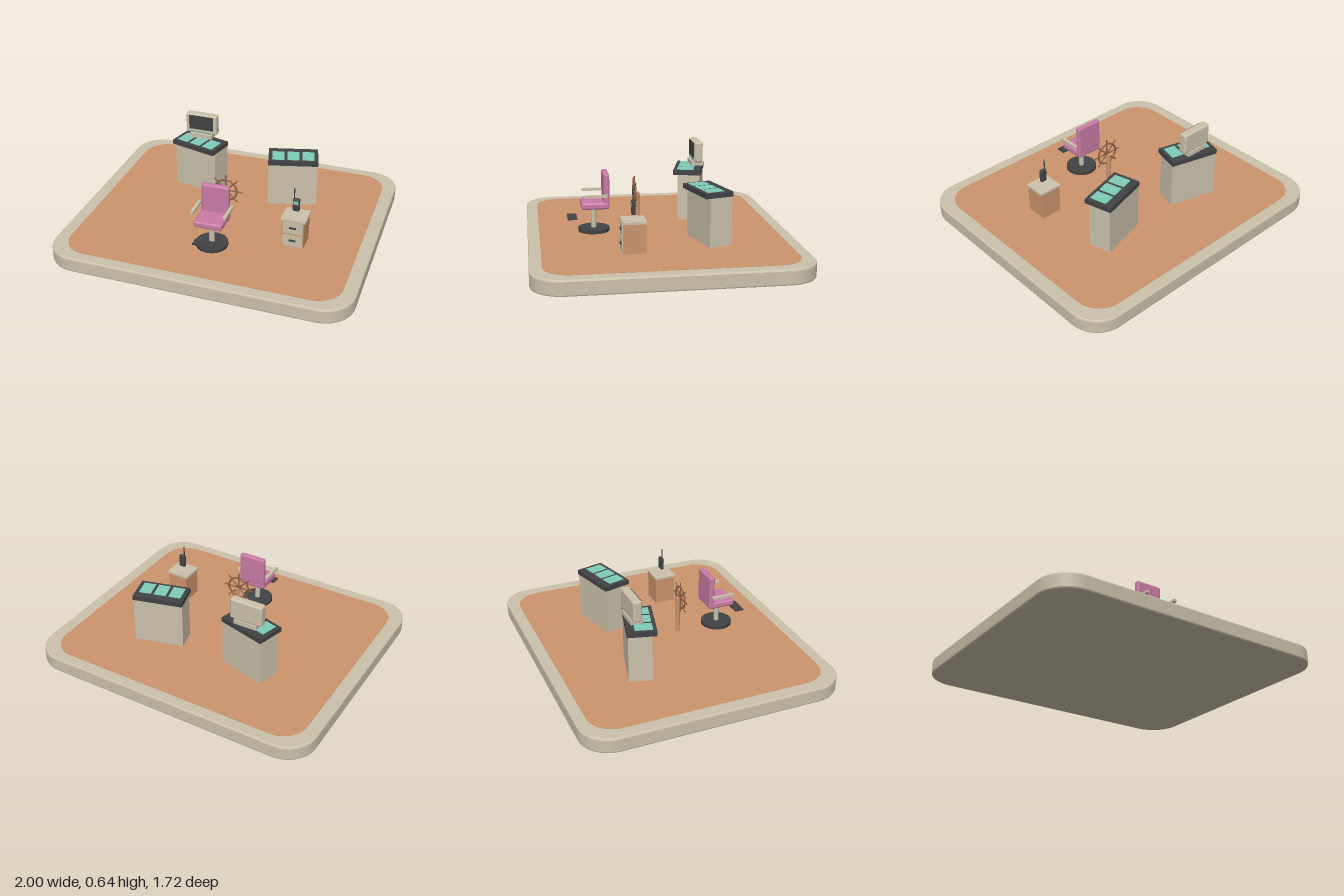
import * as THREE from 'three';
import { RoundedBoxGeometry } from 'three/addons/geometries/RoundedBoxGeometry.js';

const mat = (name, color, side = THREE.FrontSide) => {
  const m = new THREE.MeshStandardMaterial({ color, side });
  m.name = name;
  return m;
};

export function createModel() {
  const cream = mat('cream', 0xcbc1ab);
  const wood = mat('wood', 0xcb946d);
  const darkWood = mat('dark wood', 0x8f5f42);
  const charcoal = mat('charcoal', 0x404244);
  const teal = mat('teal', 0x7fcbb8);
  const pink = mat('pink', 0xc97aa6);

  const root = new THREE.Group();
  root.name = 'controlRoom';

  const group = (name, x = 0, y = 0, z = 0) => {
    const g = new THREE.Group();
    g.name = name;
    g.position.set(x, y, z);
    root.add(g);
    return g;
  };
  const add = (parent, name, geometry, material, x, y, z) => {
    const m = new THREE.Mesh(geometry, material);
    m.name = name;
    m.position.set(x, y, z);
    parent.add(m);
    return m;
  };
  const box = (p, name, material, w, h, d, x, y, z) =>
    add(p, name, new THREE.BoxGeometry(w, h, d), material, x, y, z);
  const soft = (p, name, material, w, h, d, r, x, y, z) =>
    add(p, name, new RoundedBoxGeometry(w, h, d, 2, r), material, x, y, z);
  const cyl = (p, name, material, r, h, x, y, z, sides = 16) =>
    add(p, name, new THREE.CylinderGeometry(r, r, h, sides), material, x, y, z);

  // Rounded slab lying flat, with its underside at height y
  const slab = (name, material, hw, hd, r, h, bevel, y) => {
    const a = hw - bevel, b = hd - bevel;
    const s = new THREE.Shape();
    s.moveTo(-a + r, -b);
    s.lineTo(a - r, -b);
    s.absarc(a - r, -b + r, r, -Math.PI / 2, 0);
    s.lineTo(a, b - r);
    s.absarc(a - r, b - r, r, 0, Math.PI / 2);
    s.lineTo(-a + r, b);
    s.absarc(-a + r, b - r, r, Math.PI / 2, Math.PI);
    s.lineTo(-a, -b + r);
    s.absarc(-a + r, -b + r, r, Math.PI, Math.PI * 1.5);
    const g = new THREE.ExtrudeGeometry(s, {
      depth: h - 2 * bevel, curveSegments: 8,
      bevelEnabled: bevel > 0, bevelSize: bevel, bevelThickness: bevel, bevelSegments: 2,
    });
    g.rotateX(-Math.PI / 2);
    add(root, name, g, material, 0, y + bevel, 0);
  };

  // Platform and floor
  slab('platform', cream, 1, 0.862, 0.19, 0.1, 0.01, 0);
  slab('floor', wood, 0.913, 0.785, 0.17, 0.003, 0, 0.099);

  // Two mirrored consoles turned towards the chair
  for (const s of [-1, 1]) {
    const c = group(s < 0 ? 'rightConsole' : 'leftConsole', s * 0.338, 0, -0.286);
    c.rotation.y = s * 0.262;
    box(c, 'consoleBody', cream, 0.335, 0.32, 0.152, 0, 0.26, -0.012);
    box(c, 'consoleTop', charcoal, 0.338, 0.032, 0.19, 0, 0.436, 0);
    for (let i = -1; i <= 1; i++)
      box(c, 'consoleScreen', teal, 0.082, 0.005, 0.115, i * 0.102, 0.4535, 0.014);
  }

  // Monitor over the right-hand console
  const monitor = group('monitor', -0.338, 0, -0.336);
  soft(monitor, 'monitorCase', cream, 0.225, 0.145, 0.06, 0.014, 0, 0.567, 0);
  box(monitor, 'monitorScreen', charcoal, 0.176, 0.102, 0.006, 0, 0.579, 0.031);
  box(monitor, 'monitorLight', teal, 0.17, 0.006, 0.004, 0, 0.511, 0.0305);
  box(monitor, 'monitorFoot', cream, 0.16, 0.03, 0.08, 0, 0.483, 0.004);

  // Swivel chair
  const chair = group('chair', 0, 0, 0.42);
  cyl(chair, 'chairBase', charcoal, 0.105, 0.026, 0, 0.113, 0, 20);
  cyl(chair, 'chairStem', cream, 0.018, 0.145, 0, 0.195, 0);
  soft(chair, 'seat', pink, 0.19, 0.046, 0.185, 0.014, 0, 0.288, -0.006);
  soft(chair, 'backrest', pink, 0.188, 0.205, 0.04, 0.014, 0, 0.4, -0.08);
  for (const s of [-1, 1])
    box(chair, 'armrest', cream, 0.02, 0.018, 0.155, s * 0.109, 0.359, -0.006);
  box(chair, 'footrest', charcoal, 0.138, 0.01, 0.062, 0, 0.2, 0.145);

  // Steering wheel on its post
  const helm = group('helm', 0, 0.355, 0.145);
  cyl(helm, 'helmPost', wood, 0.015, 0.255, 0, -0.1275, -0.018, 12);
  add(helm, 'wheelRim', new THREE.TorusGeometry(0.075, 0.006, 8, 28), darkWood, 0, 0, 0);
  const hub = cyl(helm, 'wheelHub', darkWood, 0.017, 0.018, 0, 0, 0);
  hub.rotation.x = Math.PI / 2;
  for (let i = 0; i < 4; i++) {
    const spoke = cyl(helm, 'wheelSpokes', darkWood, 0.0045, 0.22, 0, 0, 0, 8);
    spoke.rotation.z = i * Math.PI / 4;
  }

  // Drawer cabinet
  const cabinet = group('cabinet', 0.498, 0, 0.213);
  box(cabinet, 'cabinetBody', wood, 0.145, 0.19, 0.145, 0, 0.195, 0);
  box(cabinet, 'cabinetTop', cream, 0.163, 0.014, 0.152, 0, 0.297, 0);
  for (const y of [0.149, 0.243]) {
    box(cabinet, 'drawerFront', cream, 0.132, 0.082, 0.006, 0, y, 0.0745);
    box(cabinet, 'drawerHandle', charcoal, 0.045, 0.01, 0.008, 0, y + 0.006, 0.081);
  }

  // Handheld radio above the cabinet
  const radio = group('radio', 0.498, 0, 0.213);
  soft(radio, 'radioBody', charcoal, 0.046, 0.09, 0.026, 0.009, 0, 0.38, 0);
  box(radio, 'radioScreen', teal, 0.032, 0.026, 0.004, 0, 0.398, 0.0125);
  cyl(radio, 'radioAntenna', charcoal, 0.004, 0.08, -0.015, 0.456, 0, 8);

  return root;
}
